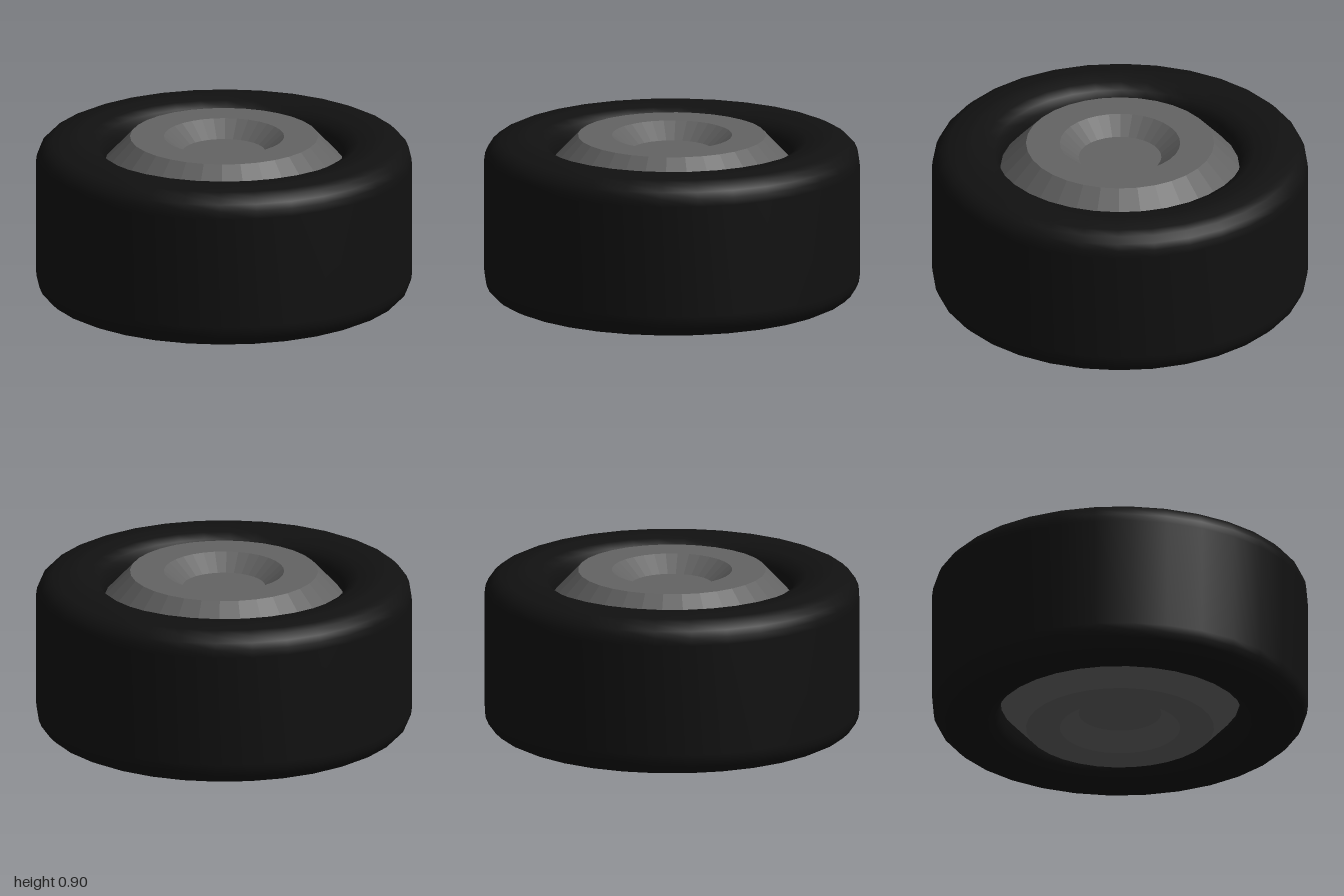
import * as THREE from 'three';

const SIDES = 32;
const HEIGHT = 0.9;

// Revolves a lower-half profile together with its mirror image about mid height
function revolve(name, lower, color, flatShading, closed) {
  const upper = lower.map(([r, y]) => [r, HEIGHT - y]).reverse();
  const points = [...lower, ...upper].map(([r, y]) => new THREE.Vector2(r, y));
  if (closed) points.push(points[0].clone());
  const material = new THREE.MeshStandardMaterial({ color, flatShading });
  const mesh = new THREE.Mesh(new THREE.LatheGeometry(points, SIDES), material);
  mesh.name = name;
  return mesh;
}

export function createModel() {
  const group = new THREE.Group();
  group.name = 'wheel';

  // Rubber tire: hollow ring with rounded shoulders, inner wall to outer tread
  const tire = [
    [0.635, 0.15], [0.645, 0.09], [0.67, 0.05], [0.72, 0.026], [0.8, 0.013],
    [0.83, 0.014], [0.91, 0.026], [0.95, 0.045], [0.98, 0.075], [0.995, 0.11], [1, 0.15],
  ];
  group.add(revolve('tire', tire, 0x111111, false, true));

  // Hub: bevelled disc with a dished recess on both faces
  const hub = [[0, 0.085], [0.22, 0.085], [0.32, 0], [0.5, 0], [0.64, 0.15]];
  group.add(revolve('hub', hub, 0x636363, true, false));

  return group;
}
